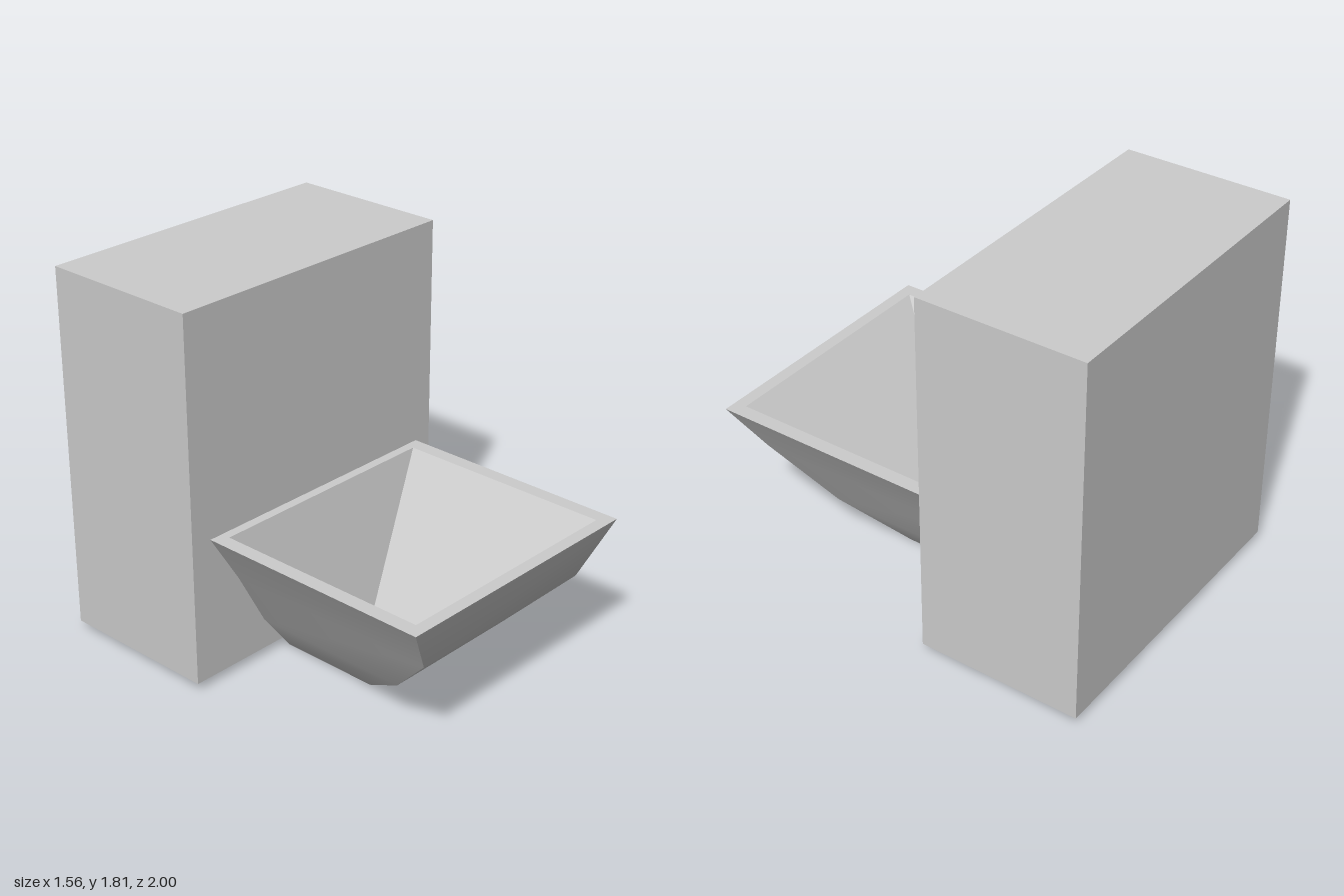
import * as THREE from 'three';
import { mergeGeometries } from 'three/addons/utils/BufferGeometryUtils.js';

const CENTRE_X = -0.015;

// Rectangular level, corners counterclockwise from above, starting front -x
function level(halfWidth, y, front, back) {
  const l = CENTRE_X - halfWidth, r = CENTRE_X + halfWidth;
  return [[l, y, front], [r, y, front], [r, y, back], [l, y, back]];
}

// Strip of quads through rows of two points, smooth along its length
function strip(rows) {
  const geometry = new THREE.BufferGeometry();
  const index = [];
  for (let i = 0; i < rows.length - 1; i++) {
    const a = i * 2;
    index.push(a, a + 1, a + 3, a, a + 3, a + 2);
  }
  geometry.setAttribute('position', new THREE.Float32BufferAttribute(rows.flat(2), 3));
  geometry.setIndex(index);
  geometry.computeVertexNormals();
  return geometry;
}

// Four walls joining levels, with hard edges at the corners
function walls(levels) {
  return [0, 1, 2, 3].map((k) => strip(levels.map((l) => [l[k], l[(k + 1) % 4]])));
}

export function createModel() {
  const group = new THREE.Group();
  const material = new THREE.MeshStandardMaterial({ color: 0xcccccc });
  const add = (name, geometry) => {
    const mesh = new THREE.Mesh(geometry, material);
    mesh.name = name;
    group.add(mesh);
    return mesh;
  };

  // Rear cabinet block
  add('tank', new THREE.BoxGeometry(1.556, 1.775, 0.805)).position.set(0, 0.9275, -0.5975);

  // Outer bowl: flat back, curved front and flanks
  const outer = [
    level(0.2, 0, 0.33, -0.175),
    level(0.36, 0.205, 0.63, -0.175),
    level(0.515, 0.49, 0.91, -0.175),
    level(0.675, 0.745, 1, -0.175),
  ];
  const [b0, b1, b2, b3] = outer[0];
  add('bowl', mergeGeometries([...walls(outer), strip([[b3, b2], [b0, b1]])]));

  // Flat rim around the opening
  const opening = level(0.605, 0.745, 0.94, -0.13);
  add('rim', mergeGeometries(walls([outer[3], opening])));

  // Sunken basin with a small flat floor
  const floor = level(0.15, 0.105, 0.31, 0.03);
  add('basin', mergeGeometries([
    ...walls([opening, floor]),
    strip([[floor[0], floor[1]], [floor[3], floor[2]]]),
  ]));

  return group;
}
